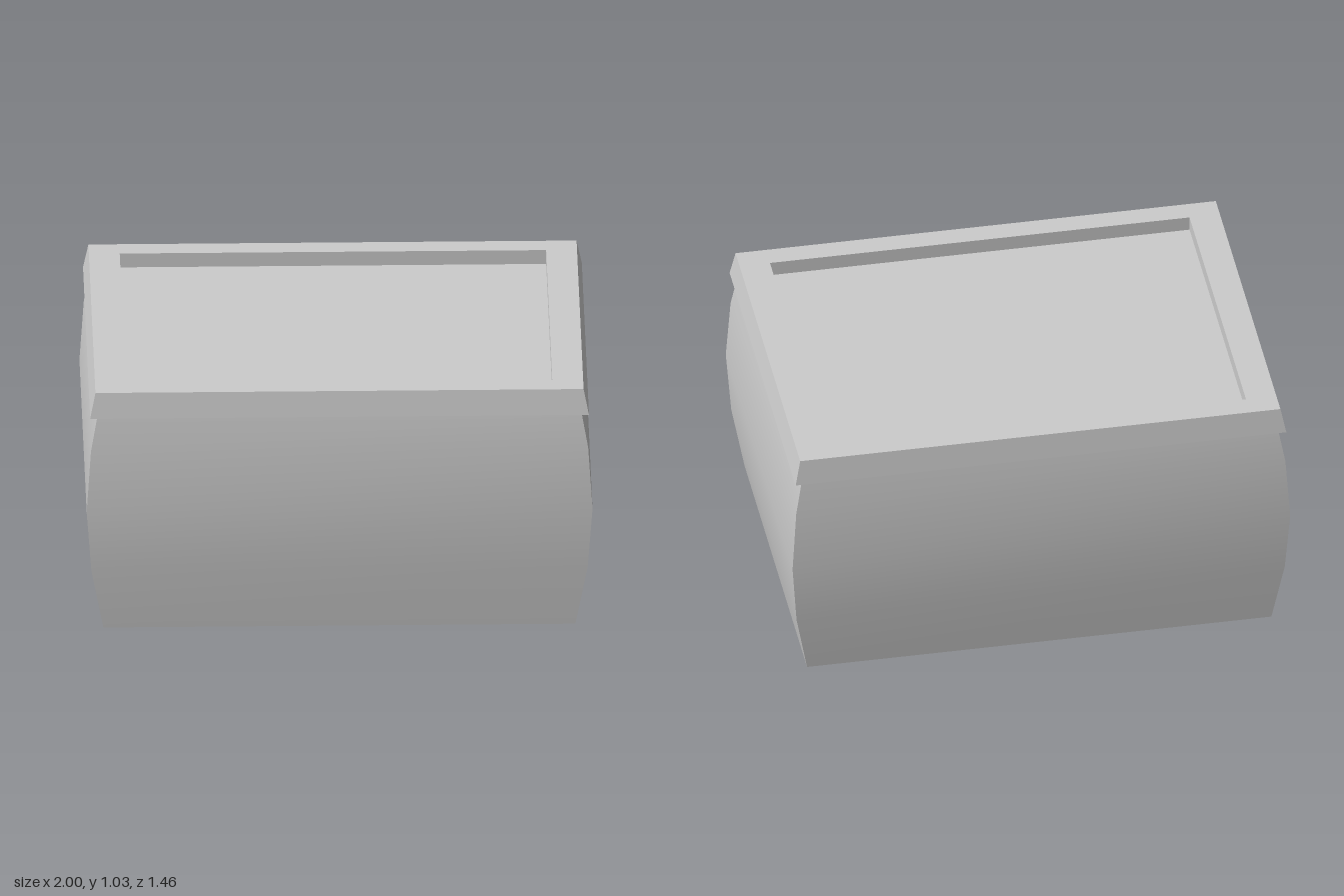
import * as THREE from 'three';

// Surface through rectangular rings [halfX, y, halfZ]; corners stay sharp,
// and each side is smooth from ring to ring.
function rectLoft(rings) {
  const pos = [], index = [];
  const corners = [[-1, 1], [1, 1], [1, -1], [-1, -1]];
  for (let s = 0; s < 4; s++) {
    const a = corners[s], b = corners[(s + 1) % 4], base = pos.length / 3;
    rings.forEach(([hx, y, hz], i) => {
      pos.push(a[0] * hx, y, a[1] * hz, b[0] * hx, y, b[1] * hz);
      if (i === 0) return;
      const k = base + 2 * (i - 1);
      index.push(k, k + 1, k + 3, k, k + 3, k + 2);
    });
  }
  const geo = new THREE.BufferGeometry();
  geo.setAttribute('position', new THREE.Float32BufferAttribute(pos, 3));
  geo.setIndex(index);
  geo.computeVertexNormals();
  return geo;
}

export function createModel() {
  const model = new THREE.Group();
  const mat = new THREE.MeshStandardMaterial({ color: 0xcccccc });
  const add = (parent, name, geo) => {
    const mesh = new THREE.Mesh(geo, mat);
    mesh.name = name;
    parent.add(mesh);
    return mesh;
  };
  const panel = (parent, name, hx, y, hz, facing) => {
    const mesh = add(parent, name, new THREE.PlaneGeometry(2 * hx, 2 * hz));
    mesh.rotation.x = -facing * Math.PI / 2;
    mesh.position.y = y;
  };

  // Bulging body
  const body = new THREE.Group();
  body.name = 'body';
  model.add(body);
  add(body, 'bodySides', rectLoft([
    [0.933, 0, 0.683], [0.981, 0.26, 0.714], [1, 0.52, 0.731],
    [0.983, 0.78, 0.718], [0.957, 0.925, 0.699],
  ]));
  panel(body, 'bodyBase', 0.933, 0, 0.683, -1);

  // Overhanging rim: underside, sloped outside, top, recess wall
  const lid = new THREE.Group();
  lid.name = 'lid';
  model.add(lid);
  const rim = [
    [0.957, 0.925, 0.699], [0.986, 0.925, 0.723], [0.965, 1.03, 0.707],
    [0.843, 1.03, 0.618], [0.843, 0.97, 0.618],
  ];
  const names = ['rimUnderside', 'rimOutside', 'rimTop', 'recessWall'];
  names.forEach((name, i) => add(lid, name, rectLoft([rim[i], rim[i + 1]])));

  // Sunken lid panel
  panel(lid, 'lidPanel', 0.843, 0.97, 0.618, 1);

  return model;
}
